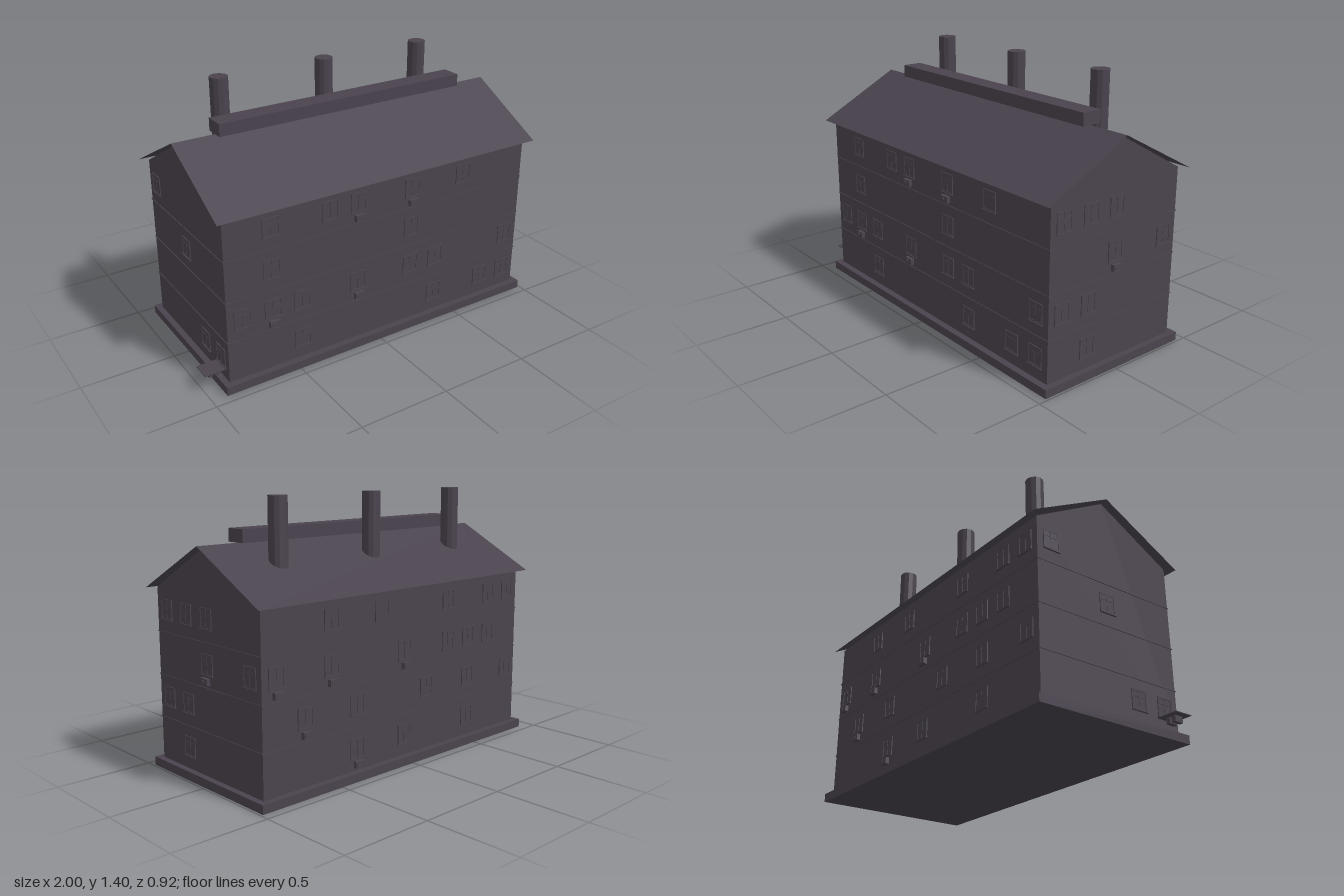
import * as THREE from 'three';

const X0 = 0.035, HALF_X = 0.92, HALF_Z = 0.416, STEP = 0.167;
const ROWS = [0.162, 0.385, 0.607, 0.83]; // window centre heights, ground floor up

export function createModel() {
  const group = new THREE.Group();
  const wallMat = new THREE.MeshStandardMaterial({ color: 0x4a434e, flatShading: true, side: THREE.DoubleSide });
  wallMat.name = 'dark plaster';

  const add = (parent, name, geo, x = 0, y = 0, z = 0) => {
    const m = new THREE.Mesh(geo, wallMat);
    m.name = name;
    m.position.set(x, y, z);
    parent.add(m);
    return m;
  };
  const box = (parent, name, w, h, d, x, y, z) => add(parent, name, new THREE.BoxGeometry(w, h, d), x, y, z);

  // Plinth
  box(group, 'plinth', 1.905, 0.045, 0.904, X0, 0.0225, 0);

  // Walls with gable ends, extruded along x
  const gable = new THREE.Shape([
    [-HALF_Z, 0.045], [HALF_Z, 0.045], [HALF_Z, 0.935], [0, 1.166], [-HALF_Z, 0.935],
  ].map(([a, b]) => new THREE.Vector2(a, b)));
  const walls = new THREE.ExtrudeGeometry(gable, { depth: HALF_X * 2, bevelEnabled: false });
  walls.translate(0, 0, -HALF_X).rotateY(Math.PI / 2);
  add(group, 'walls', walls, X0);

  // Thin string courses between floors
  for (const y of [0.2675, 0.49, 0.7125]) {
    box(group, 'floorBand', HALF_X * 2 + 0.008, 0.004, HALF_Z * 2 + 0.008, X0, y, 0);
  }

  // Thin folded roof with overhanging eaves
  let roof = new THREE.PlaneGeometry(1.92, 0.92, 1, 2).rotateX(-Math.PI / 2);
  const p = roof.attributes.position;
  for (let i = 0; i < p.count; i++) p.setY(i, 1.172 - Math.abs(p.getZ(i)) * 0.525);
  roof = roof.toNonIndexed();
  roof.computeVertexNormals();
  add(group, 'roof', roof, X0);

  // Ridge vent and chimneys
  box(group, 'ridgeVent', 1.47, 0.066, 0.11, 0.0375, 1.207, 0);
  for (const x of [-0.58, X0, 0.65]) {
    add(group, 'chimney', new THREE.CylinderGeometry(0.048, 0.048, 0.36, 12), x, 1.22, -0.17);
  }

  // One window in its own frame facing +z, with sill and optional cooling unit
  const makeWindow = (unit) => {
    const w = new THREE.Group();
    w.name = 'window';
    box(w, 'glass', 0.086, 0.094, 0.002, 0, 0, 0.001);
    for (const s of [-1, 1]) {
      box(w, 'frameSide', 0.006, 0.1, 0.005, s * 0.043, 0, 0.0025);
      box(w, 'frameRail', 0.09, 0.006, 0.005, 0, s * 0.047, 0.0025);
    }
    box(w, 'mullion', 0.005, 0.094, 0.004, 0, 0, 0.002);
    box(w, 'transom', 0.086, 0.005, 0.004, 0, 0.018, 0.002);
    box(w, 'sill', 0.098, 0.004, 0.01, 0, -0.052, 0.005);
    if (unit) {
      box(w, 'coolingUnit', 0.054, 0.034, 0.02, 0, -0.081, 0.014);
      const fan = add(w, 'coolingFan', new THREE.CylinderGeometry(0.012, 0.012, 0.004, 10), -0.01, -0.081, 0.025);
      fan.rotation.x = Math.PI / 2;
    }
    return w;
  };

  // Columns per floor (ground first), counted from the wall centre; u = columns with cooling units
  const facades = [
    { name: 'frontWindows', turn: 0, off: HALF_Z, c: [[-3, 2, 4, 5], [-5, -4, -3, -1, 1, 2, 5], [-4, 1], [-4, -2, -1, 1, 3]], u: [[], [-4, -1], [], [-1, 1]] },
    { name: 'backWindows', turn: Math.PI, off: HALF_Z, c: [[-2, 0, 3], [-4, -2, 1, 3, 5], [-5, -3, 0, 2, 3, 4], [-3, -1, 2, 4, 5]], u: [[-2], [-4], [-5, -3, 0], []] },
    { name: 'leftWindows', turn: Math.PI / 2, off: HALF_X, c: [[-1], [-2, -1], [0, 2], [-2, -1, 0]], u: [[], [], [0], []] },
    { name: 'rightWindows', turn: -Math.PI / 2, off: HALF_X, c: [[1, 2], [], [0], [-2]], u: [[], [], [], []] },
  ];
  for (const f of facades) {
    const side = new THREE.Group();
    side.name = f.name;
    side.position.x = X0;
    side.rotation.y = f.turn;
    f.c.forEach((cols, row) => cols.forEach((c) => {
      const w = makeWindow(f.u[row].includes(c));
      w.position.set(c * STEP, ROWS[row], f.off);
      side.add(w);
    }));
    group.add(side);
  }

  // Small shelf with two boxes on the end wall
  box(group, 'wallShelf', 0.118, 0.004, 0.1, -0.941, 0.103, 0.333);
  for (const x of [-0.958, -0.924]) box(group, 'shelfBox', 0.022, 0.032, 0.05, x, 0.085, 0.333);

  return group;
}
